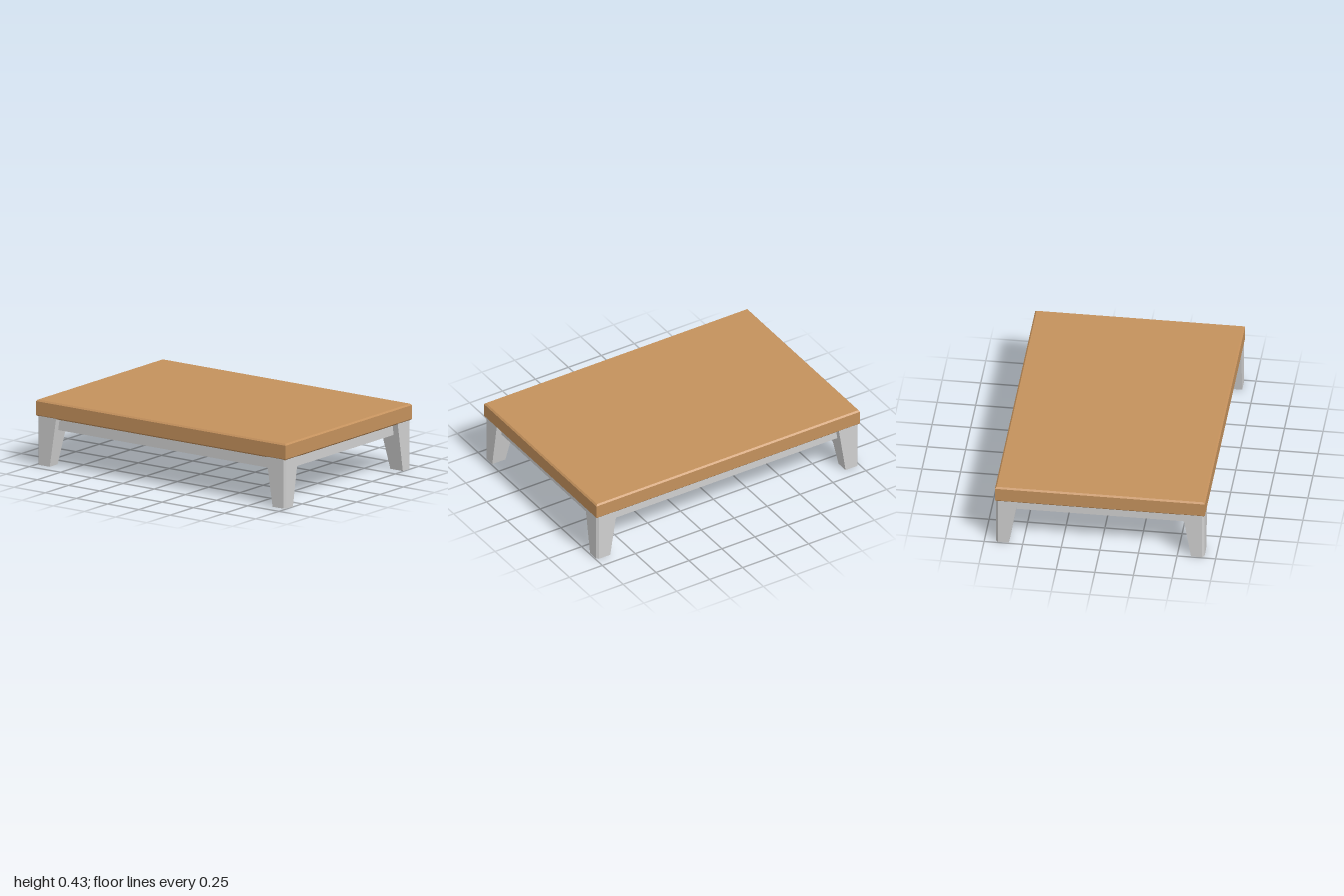
import * as THREE from 'three';

const wood = new THREE.MeshStandardMaterial({ color: 0xc4915c });
wood.name = 'warm wood';
const metal = new THREE.MeshStandardMaterial({ color: 0xcfcfcf });
metal.name = 'light grey';

// Horizontal cross-section of the front left leg, outer corner chamfered
function legSection(innerX, innerZ, y) {
  const outX = 0.993, outZ = 0.675, c = 0.014;
  return [
    [innerX, y, innerZ], [innerX, y, outZ], [outX - c, y, outZ],
    [outX, y, outZ - c], [outX, y, innerZ],
  ];
}

// Loft between the foot and the wider top, mirrored by sx and sz
function legGeometry(sx, sz) {
  const foot = legSection(0.893, 0.59, 0);
  const head = legSection(0.842, 0.535, 0.325);
  const pos = [];
  const tri = (...pts) => {
    if (sx * sz < 0) pts.reverse();
    pts.forEach(([x, y, z]) => pos.push(x * sx, y, z * sz));
  };
  const n = foot.length;
  for (let i = 0; i < n; i++) {
    const j = (i + 1) % n;
    tri(foot[i], foot[j], head[j]);
    tri(foot[i], head[j], head[i]);
  }
  for (let i = 1; i < n - 1; i++) {
    tri(foot[0], foot[i + 1], foot[i]);
    tri(head[0], head[i], head[i + 1]);
  }
  const g = new THREE.BufferGeometry();
  g.setAttribute('position', new THREE.Float32BufferAttribute(pos, 3));
  g.computeVertexNormals();
  return g;
}

// Slab with a small chamfer on every edge
function slabGeometry(w, h, d, b) {
  const x = w / 2 - b, z = d / 2 - b;
  const shape = new THREE.Shape([
    new THREE.Vector2(-x, -z), new THREE.Vector2(x, -z),
    new THREE.Vector2(x, z), new THREE.Vector2(-x, z),
  ]);
  const g = new THREE.ExtrudeGeometry(shape, {
    depth: h - 2 * b, bevelEnabled: true, bevelSize: b, bevelThickness: b, bevelSegments: 1,
  });
  g.rotateX(-Math.PI / 2);
  g.translate(0, b, 0);
  return g;
}

export function createModel() {
  const group = new THREE.Group();
  group.name = 'lowTable';
  const add = (name, geometry, material, x = 0, y = 0, z = 0) => {
    const mesh = new THREE.Mesh(geometry, material);
    mesh.name = name;
    mesh.position.set(x, y, z);
    group.add(mesh);
  };

  // Table top
  add('tableTop', slabGeometry(2, 0.11, 1.36, 0.01), wood, 0, 0.32, 0);

  // Tapered legs
  for (const sx of [1, -1]) {
    for (const sz of [1, -1]) {
      add(`${sz > 0 ? 'front' : 'back'}${sx > 0 ? 'Left' : 'Right'}Leg`, legGeometry(sx, sz), metal);
    }
  }

  // Rails between the legs, set in from the edge
  for (const s of [1, -1]) {
    add(s > 0 ? 'frontRail' : 'backRail', new THREE.BoxGeometry(1.74, 0.082, 0.04), metal, 0, 0.282, s * 0.615);
    add(s > 0 ? 'leftRail' : 'rightRail', new THREE.BoxGeometry(0.04, 0.082, 1.13), metal, s * 0.93, 0.282, 0);
  }
  return group;
}
